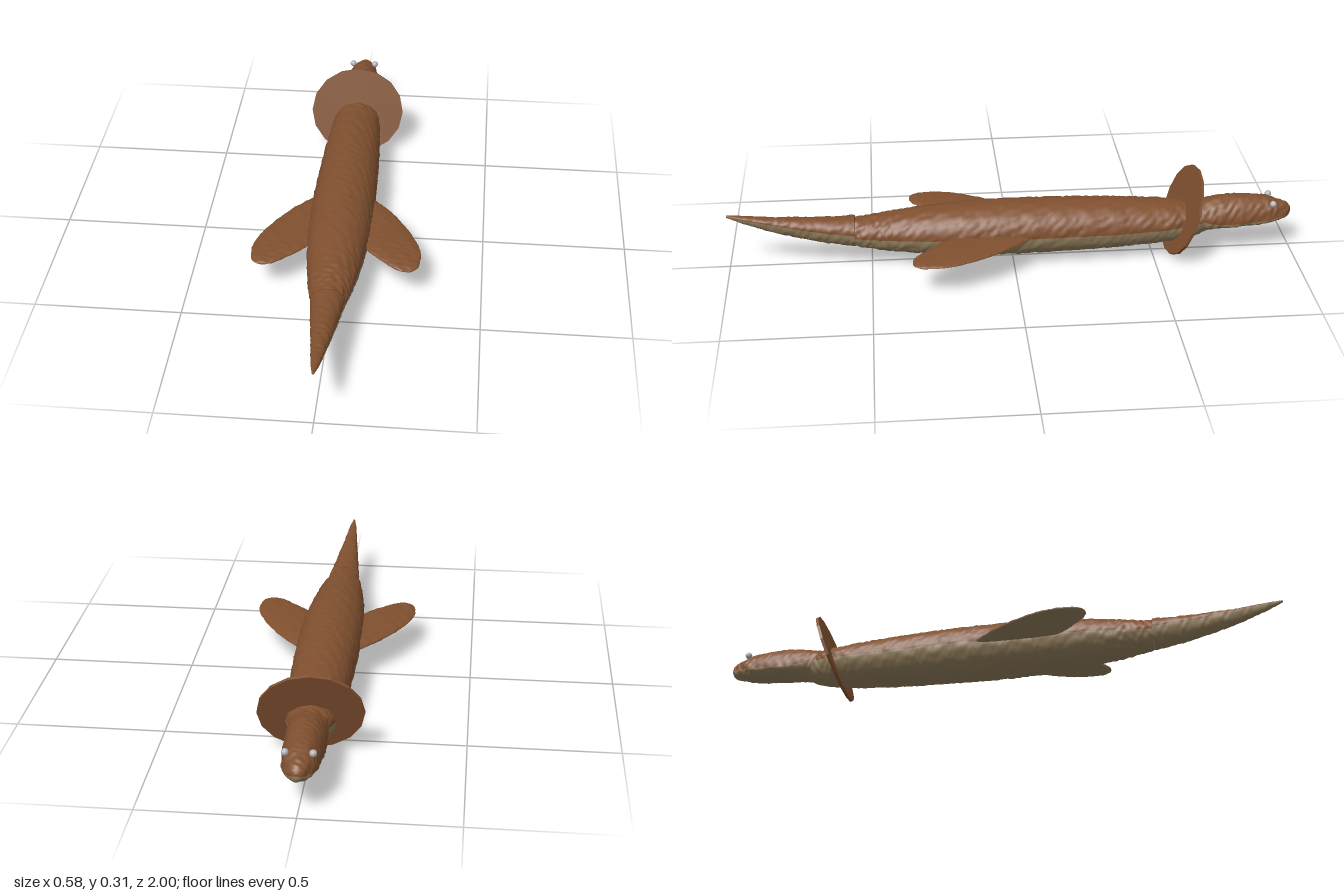
import * as THREE from 'three';

const brown = new THREE.MeshStandardMaterial({ color: 0x80502f });
const tan = new THREE.MeshStandardMaterial({ color: 0x8f7b5a });
const grey = new THREE.MeshStandardMaterial({ color: 0xb4b4bc });
brown.name = 'brown hide';
tan.name = 'tan belly';
grey.name = 'grey eye';

// Smooth lumpy skin relief, roughly -1 to 1
function relief(x, y, z) {
  return (Math.sin(x * 150 + 2 * Math.sin(z * 61)) * Math.sin(z * 118 + y * 90)
    + Math.sin(y * 170 + 1.7 * Math.sin(z * 83 + x * 40)) * Math.cos(z * 157 - x * 70)) / 2;
}

// Loft along z with a brown upper half and a tan lower half.
// Each section: [z, centre x, seam y, half width, height above seam, depth below seam]
function loft(name, sections, rows, sides, bump) {
  const pos = [], top = [], bottom = [];
  const sample = (u) => {
    const f = u * (sections.length - 1);
    const i = Math.min(Math.floor(f), sections.length - 2), t = f - i;
    const at = (k) => sections[Math.max(0, Math.min(sections.length - 1, k))];
    return sections[0].map((_, c) => {
      const p = at(i)[c], q = at(i + 1)[c];
      const m0 = (q - at(i - 1)[c]) / 2, m1 = (at(i + 2)[c] - p) / 2;
      const v = p + m0 * t + (3 * (q - p) - 2 * m0 - m1) * t * t + (2 * (p - q) + m0 + m1) * t * t * t;
      return c > 2 ? Math.max(0, v) : v;
    });
  };
  for (let r = 0; r <= rows; r++) {
    const [z, cx, cy, rx, up, down] = sample(r / rows);
    for (let s = 0; s < sides; s++) {
      const a = (s / sides) * Math.PI * 2, c = Math.cos(a), n = Math.sin(a);
      const x = cx + c * rx, y = cy + n * (n > 0 ? up : down);
      const d = bump * relief(x, y, z) * Math.min(1, rx / 0.03);
      pos.push(x + c * d, y + n * d, z);
      if (r < rows) {
        const i = r * sides + s, j = r * sides + (s + 1) % sides;
        (s < sides / 2 ? top : bottom).push(i, j, i + sides, j, j + sides, i + sides);
      }
    }
  }
  // End caps, split along the seam
  const last = rows * sides, h = sides / 2;
  for (let s = 1; s < h; s++) {
    top.push(0, s + 1, s, last, last + s, last + s + 1);
    const b = s + h, b1 = (b + 1) % sides;
    bottom.push(h, b1, b, last + h, last + b, last + b1);
  }
  const g = new THREE.BufferGeometry();
  g.setAttribute('position', new THREE.Float32BufferAttribute(pos, 3));
  g.setIndex([...top, ...bottom]);
  g.addGroup(0, top.length, 0);
  g.addGroup(top.length, bottom.length, 1);
  g.computeVertexNormals();
  const mesh = new THREE.Mesh(g, [brown, tan]);
  mesh.name = name;
  return mesh;
}

export function createModel() {
  const model = new THREE.Group();
  model.name = 'swimmingCreature';

  model.add(loft('body', [
    [-0.72, 0, 0.13, 0.045, 0.04, 0.035],
    [-0.66, 0, 0.13, 0.065, 0.053, 0.065],
    [-0.58, 0, 0.125, 0.085, 0.067, 0.075],
    [-0.4, 0, 0.12, 0.1, 0.086, 0.085],
    [-0.2, 0, 0.12, 0.107, 0.094, 0.092],
    [0, 0, 0.12, 0.11, 0.096, 0.096],
    [0.2, 0, 0.12, 0.105, 0.09, 0.091],
    [0.4, 0, 0.12, 0.085, 0.071, 0.073],
    [0.5, 0, 0.12, 0.068, 0.058, 0.057],
    [0.57, 0, 0.122, 0.053, 0.05, 0.047],
  ], 150, 64, 0.0035));

  model.add(loft('head', [
    [-0.998, 0, 0.145, 0.008, 0.008, 0.01],
    [-0.985, 0, 0.14, 0.026, 0.03, 0.022],
    [-0.95, 0, 0.134, 0.046, 0.05, 0.025],
    [-0.9, 0, 0.128, 0.058, 0.072, 0.026],
    [-0.8, 0, 0.122, 0.066, 0.086, 0.025],
    [-0.72, 0, 0.124, 0.066, 0.078, 0.036],
    [-0.65, 0, 0.14, 0.06, 0.046, 0.06],
    [-0.58, 0, 0.14, 0.05, 0.04, 0.05],
  ], 80, 48, 0.0035));

  model.add(loft('tail', [
    [0.555, 0, 0.132, 0.058, 0.047, 0.062],
    [0.65, 0, 0.14, 0.047, 0.038, 0.055],
    [0.75, 0, 0.155, 0.036, 0.027, 0.047],
    [0.85, 0, 0.172, 0.024, 0.016, 0.036],
    [0.94, 0, 0.189, 0.014, 0.009, 0.02],
    [1, 0, 0.2, 0.004, 0.004, 0.004],
  ], 80, 40, 0.0025));

  // Mirrored pair of swept-back flippers
  for (const s of [-1, 1]) {
    model.add(loft(s > 0 ? 'leftFlipper' : 'rightFlipper', [
      [-0.08, 0.075, 0.12, 0.008, 0.004, 0.004],
      [-0.05, 0.08, 0.12, 0.032, 0.009, 0.009],
      [0.02, 0.11, 0.121, 0.062, 0.013, 0.012],
      [0.1, 0.135, 0.121, 0.09, 0.014, 0.013],
      [0.18, 0.165, 0.121, 0.1, 0.014, 0.013],
      [0.25, 0.195, 0.121, 0.092, 0.013, 0.012],
      [0.31, 0.225, 0.12, 0.063, 0.011, 0.01],
      [0.345, 0.24, 0.12, 0.038, 0.008, 0.008],
      [0.36, 0.242, 0.12, 0.014, 0.003, 0.003],
    ].map(([z, x, ...rest]) => [z, s * x, ...rest]), 60, 40, 0.0028));
  }

  // Tilted flat collar round the neck
  const collarShape = new THREE.CylinderGeometry(0.172, 0.172, 0.01, 16).toNonIndexed();
  collarShape.scale(1.01, 1, 0.945);
  collarShape.computeVertexNormals();
  const collar = new THREE.Mesh(collarShape, brown);
  collar.name = 'collar';
  collar.position.set(0, 0.157, -0.607);
  collar.rotation.set(Math.PI / 2 - 0.335, 0, -0.06);
  model.add(collar);

  for (const s of [-1, 1]) {
    const eye = new THREE.Mesh(new THREE.SphereGeometry(0.012, 20, 14), grey);
    eye.name = s > 0 ? 'leftEye' : 'rightEye';
    eye.position.set(s * 0.043, 0.186, -0.925);
    model.add(eye);
  }
  return model;
}
